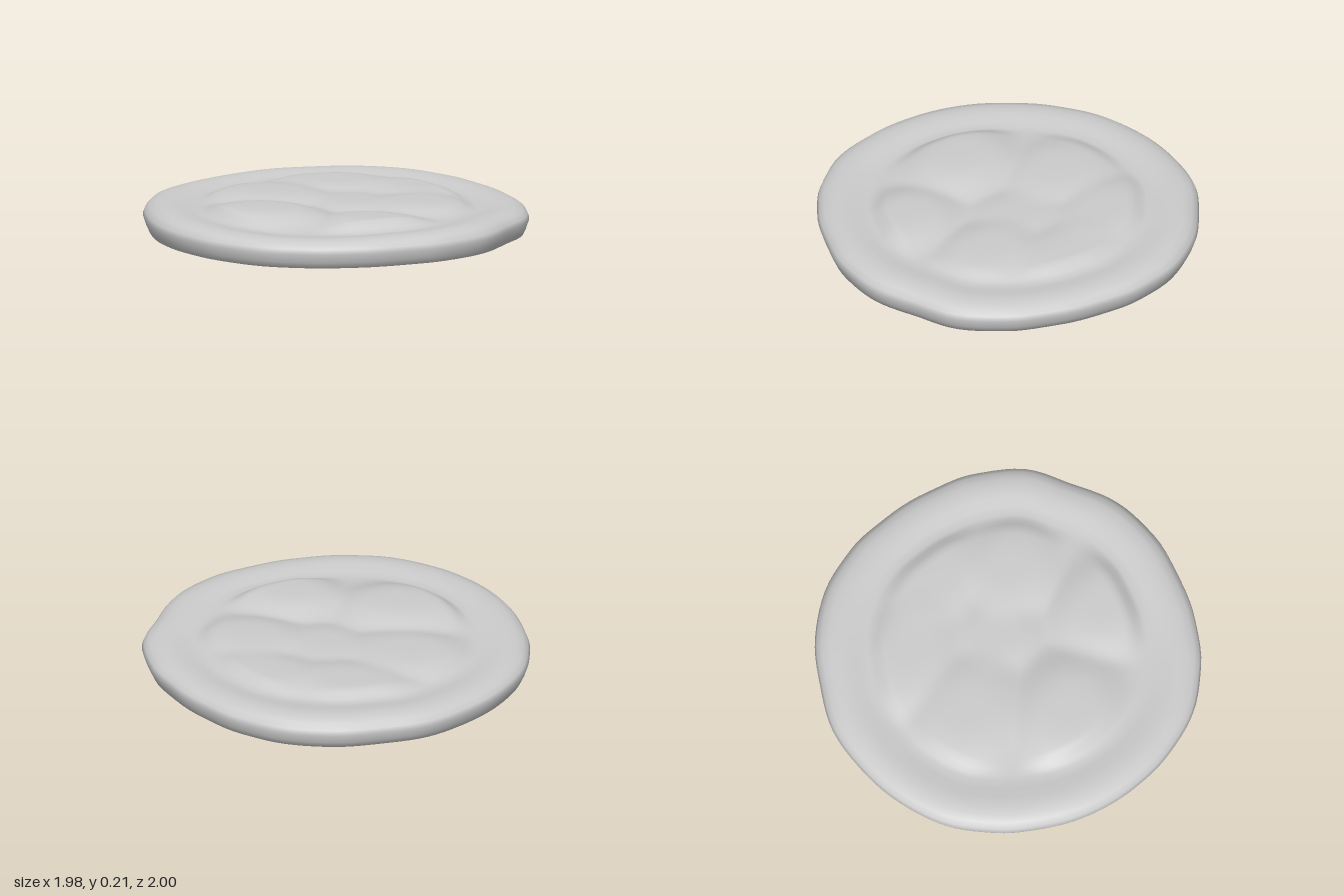
import * as THREE from 'three';

// Rim radius every 15 degrees, from +x towards +z
const RIM = [0.972, 0.987, 0.978, 0.962, 0.97, 0.987, 1, 0.99, 0.982, 0.98, 0.977, 0.987,
  1, 0.995, 0.992, 1, 0.985, 0.997, 1, 0.985, 0.967, 0.968, 0.988, 1.002];

// Cross-section [radius, height] from the middle of the underside, over the rim, to the groove
const SECTION = [[0, 0.005], [0.3, 0.006], [0.6, 0.01], [0.85, 0.015], [0.94, 0.018], [0.97, 0.024],
  [0.985, 0.055], [1, 0.1], [0.99, 0.125], [0.965, 0.15], [0.925, 0.162], [0.88, 0.166],
  [0.83, 0.163], [0.78, 0.153], [0.73, 0.148]];

// Soft lumps on the top: x, z, radius x, radius z, height
const LUMPS = [
  [-0.22, 0.4, 0.32, 0.26, 0.064],
  [0.37, 0.38, 0.29, 0.24, 0.055],
  [-0.4, -0.08, 0.32, 0.26, 0.045],
  [0.42, -0.14, 0.28, 0.24, 0.045],
  [-0.2, -0.48, 0.34, 0.24, 0.043],
  [0.25, -0.5, 0.34, 0.24, 0.043],
  [0.05, -0.1, 0.24, 0.22, 0.028],
];

function rimRadius(angle) {
  const t = (angle / (Math.PI * 2)) * RIM.length;
  const i = Math.floor(t), f = THREE.MathUtils.smoothstep(t - i, 0, 1);
  return THREE.MathUtils.lerp(RIM[i % RIM.length], RIM[(i + 1) % RIM.length], f);
}

// Lumps have flattened crowns and quickly falling sides, and merge softly
function lumpHeight(x, z) {
  let sum = 0;
  for (const [cx, cz, rx, rz, h] of LUMPS) {
    const d = ((x - cx) / rx) ** 2 + ((z - cz) / rz) ** 2;
    sum += (h * Math.exp(-d * d * 0.9)) ** 3;
  }
  return Math.cbrt(sum);
}

function discGeometry() {
  const around = 120, inner = 26;
  const rings = SECTION.map(([r, y]) => ({ r, y, top: false }));
  for (let k = 1; k <= inner; k++) rings.push({ r: 0.73 * (1 - k / inner), y: 0.148, top: true });

  const pos = [], index = [];
  rings.forEach(({ r, y, top }, j) => {
    for (let i = 0; i < around; i++) {
      const a = (i / around) * Math.PI * 2;
      const R = r * rimRadius(a);
      const x = R * Math.cos(a), z = R * Math.sin(a);
      let h = y;
      if (top) h += lumpHeight(x, z) * THREE.MathUtils.smoothstep(0.74 - r, 0, 0.1);
      // gentle unevenness of the raised edge
      if (j > 8) h += 0.005 * Math.sin(3 * a + 0.6) * THREE.MathUtils.smoothstep(r, 0.5, 0.8);
      pos.push(x, h, z);
      if (j < rings.length - 1) {
        const n = (i + 1) % around;
        const p = j * around + i, q = j * around + n, s = p + around, t = q + around;
        if (j < rings.length - 2) index.push(p, s, t);
        if (j > 0) index.push(p, t, q);
        if (j === rings.length - 2) index.push(); // last ring collapses to the middle
      }
    }
  });
  const g = new THREE.BufferGeometry();
  g.setAttribute('position', new THREE.Float32BufferAttribute(pos, 3));
  g.setIndex(index);
  g.computeVertexNormals();
  return g;
}

export function createModel() {
  const group = new THREE.Group();
  group.name = 'lumpyDisc';
  const disc = new THREE.Mesh(discGeometry(), new THREE.MeshStandardMaterial({ color: 0xcccccc }));
  disc.name = 'disc';
  // rest the underside on the ground
  disc.position.y = -0.005;
  group.add(disc);
  return group;
}
